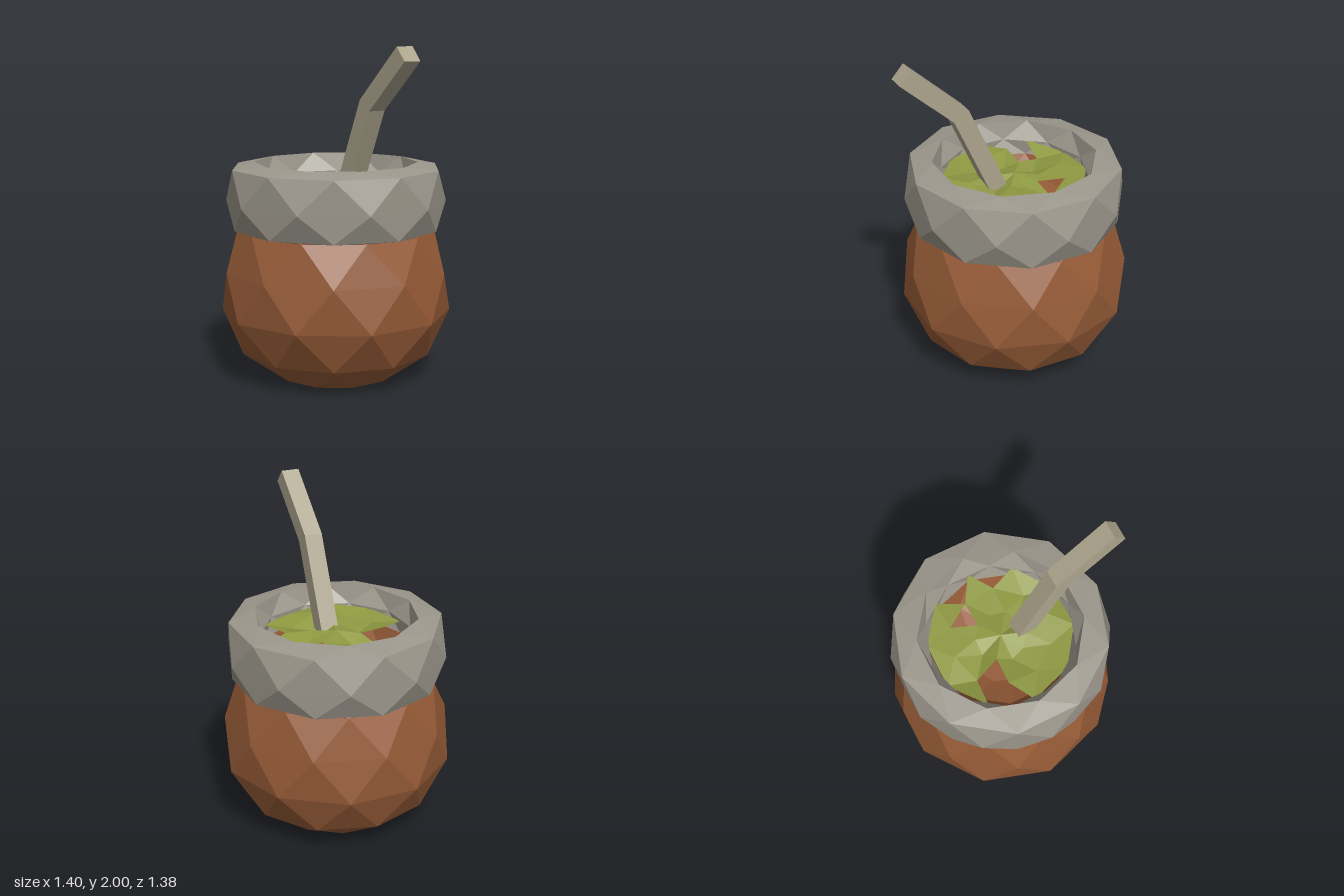
import * as THREE from 'three';

const SIDES = 10;

function material(name, color, side = THREE.FrontSide) {
  const m = new THREE.MeshStandardMaterial({ color, side, flatShading: true });
  m.name = name;
  return m;
}

// Facetted surface from rings [radius, y, phase, wobble]; neighbouring rings
// are turned half a step against each other. `skip` lists faces left open.
function facetted(rings, skip = []) {
  const point = ([r, y, phase, wobble = 0], i) => {
    const k = i % SIDES;
    const a = ((k + phase) / SIDES) * Math.PI * 2;
    return new THREE.Vector3(r * Math.sin(a), y + wobble * Math.sin(k * 2.4 + phase * 5), -r * Math.cos(a));
  };
  const pos = [];
  const face = (key, a, b, c) => {
    const area = b.clone().sub(a).cross(c.clone().sub(a)).length();
    if (area < 1e-6 || skip.includes(key)) return;
    for (const p of [a, b, c]) pos.push(p.x, p.y, p.z);
  };
  for (let i = 0; i < rings.length - 1; i++) {
    const l = (k) => point(rings[i], k);
    const u = (k) => point(rings[i + 1], k);
    for (let k = 0; k < SIDES; k++) {
      if (rings[i][2] === 0) {
        face(`${i}A${k}`, l(k + 1), l(k), u(k));
        face(`${i}B${k}`, u(k), u(k + 1), l(k + 1));
      } else {
        face(`${i}A${k}`, l(k), u(k), u(k + 1));
        face(`${i}B${k}`, l(k + 1), l(k), u(k + 1));
      }
    }
  }
  const g = new THREE.BufferGeometry();
  g.setAttribute('position', new THREE.Float32BufferAttribute(pos, 3));
  g.computeVertexNormals();
  return g;
}

export function createModel() {
  const brown = material('gourd brown', 0x945a36);
  const grey = material('rim grey', 0x9c978c);
  const green = material('herb green', 0x8f9a42, THREE.DoubleSide);
  const metal = material('straw metal', 0xaca48c);

  const model = new THREE.Group();
  const cup = new THREE.Group();
  cup.name = 'cup';
  cup.position.x = -0.027;
  model.add(cup);

  const add = (parent, name, geometry, mat) => {
    const mesh = new THREE.Mesh(geometry, mat);
    mesh.name = name;
    parent.add(mesh);
  };

  // Round gourd with a flat base
  add(cup, 'gourdBody', facetted([
    [0, 0, 0.5], [0.345, 0, 0], [0.577, 0.16, 0.5], [0.69, 0.4, 0],
    [0.675, 0.66, 0.5], [0.59, 0.9, 0], [0.56, 0.95, 0.5],
  ]), brown);

  // Hollow inside of the gourd
  add(cup, 'gourdInside', facetted([
    [0.43, 1.1, 0], [0.36, 0.98, 0.5], [0.2, 0.92, 0], [0, 0.92, 0.5],
  ]), brown);

  // Thick collar, over the top and down the inner wall
  add(cup, 'rim', facetted([
    [0.57, 0.9, 0], [0.622, 0.908, 0.5], [0.66, 1.07, 0], [0.633, 1.27, 0.5],
    [0.49, 1.3, 0], [0.445, 1.19, 0.5], [0.43, 1.1, 0],
  ]), grey);

  // Uneven herb filling with a few gaps
  add(cup, 'herbs', facetted([
    [0.435, 1.18, 0, 0.015], [0.3, 1.17, 0.5, 0.03], [0.15, 1.16, 0, 0.025], [0, 1.19, 0.5],
  ], ['0A0', '0A9', '0A5', '0B5', '1B8', '1B5']), green);

  // Bent square straw
  const outline = new THREE.Shape([
    [0.04, 1.13], [0.135, 1.08], [0.38, 1.63], [0.70, 1.92], [0.63, 2.0], [0.29, 1.69],
  ].map(([x, y]) => new THREE.Vector2(x, y)));
  const straw = new THREE.ExtrudeGeometry(outline, { depth: 0.11, bevelEnabled: false });
  straw.translate(0, 0, -0.055);
  add(model, 'straw', straw, metal);

  return model;
}
